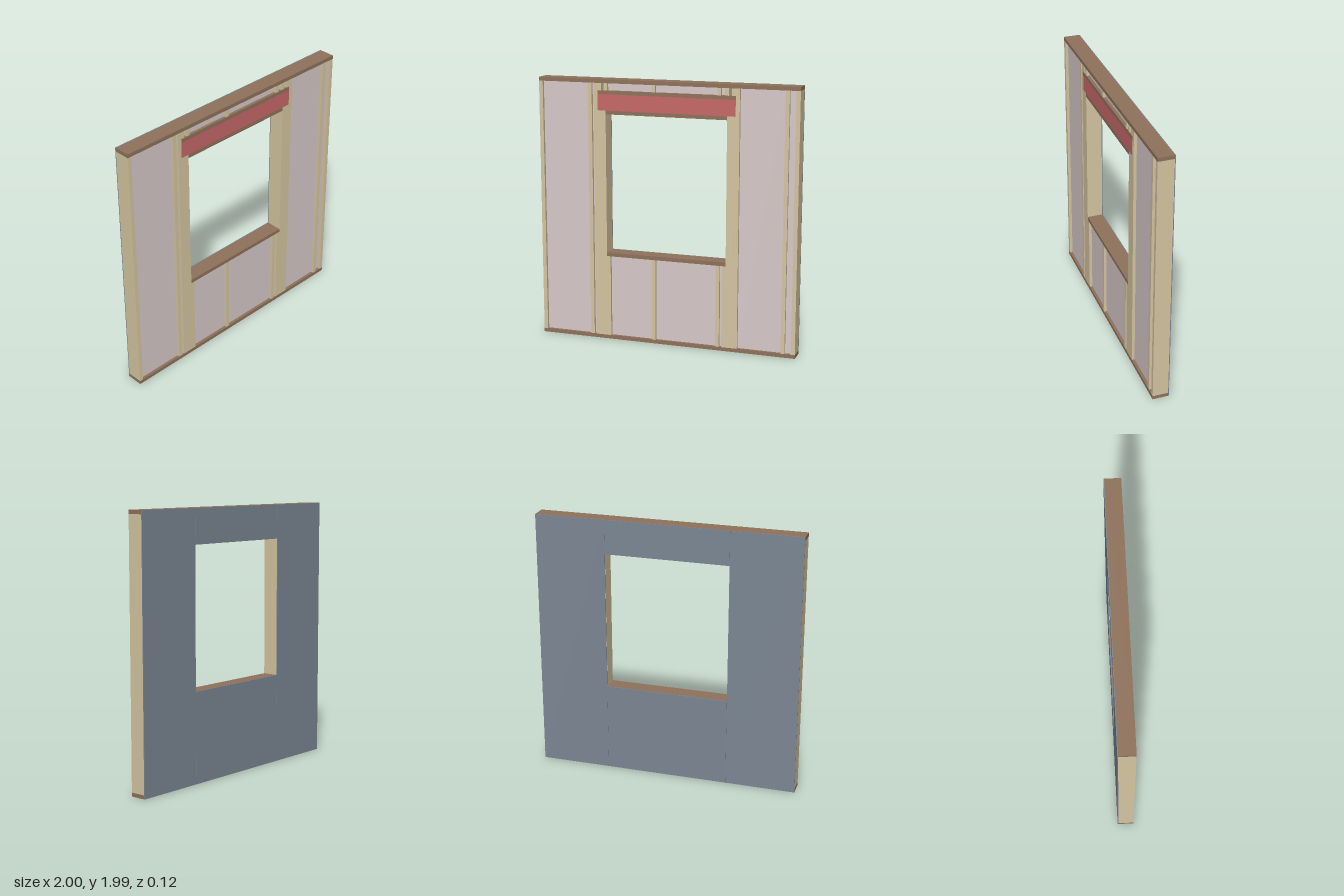
import * as THREE from 'three';

const material = (color) => new THREE.MeshStandardMaterial({ color });

export function createModel() {
  const wall = new THREE.Group();
  wall.name = 'framedWall';
  const lumber = material(0xd6c6a2);
  const plate = material(0x8f725b);
  const headerRed = material(0xc96868);
  const sheet = material(0x7c8793);
  const batt = material(0xd9caca);

  const H = 1.99, FRONT = 0.0625, BACK = -0.0565, T = 0.028;
  const TOP = H - T;                   // underside of top plate
  const SILL = 0.68, HEAD = 1.732;     // window opening
  const HALF = 0.467;                  // half opening width

  // Box given by its limits on each axis
  function box(name, mat, x0, x1, y0, y1, z0 = BACK, z1 = FRONT) {
    const mesh = new THREE.Mesh(new THREE.BoxGeometry(x1 - x0, y1 - y0, z1 - z0), mat);
    mesh.position.set((x0 + x1) / 2, (y0 + y1) / 2, (z0 + z1) / 2);
    mesh.name = name;
    wall.add(mesh);
  }

  // Horizontal plates, sill and header
  box('bottomPlate', plate, -1, 1, 0, T);
  box('topPlate', plate, -1, 1, TOP, H);
  box('windowSill', plate, -HALF, HALF, SILL - T, SILL);
  box('headPlate', plate, -HALF, HALF, HEAD, HEAD + T);
  box('header', headerRed, -0.53, 0.53, HEAD + T, 1.88);
  box('headerCap', plate, -0.53, 0.53, 1.88, 1.908);

  // Full-height studs
  for (const x of [-1, -0.606, -0.56, 0.53, 0.892, 0.97]) {
    box('stud', lumber, x, x + 0.03, T, TOP);
  }

  // Doubled jack studs carrying the header
  for (const x of [-0.53, -0.4985, 0.467, 0.4985]) {
    box('jackStud', lumber, x, x + 0.0315, T, HEAD + T);
  }

  // Short studs below the sill and above the header
  for (const x of [-HALF, -0.107, 0.392, HALF - T]) {
    box('lowerCripple', lumber, x, x + T, T, SILL - T);
  }
  for (const x of [-0.53, -0.48, -0.107, 0.392, 0.45, 0.502]) {
    box('upperCripple', lumber, x, x + T, 1.908, TOP);
  }

  // Insulation in the bays, set back from the front
  const bays = [
    [-0.97, -0.606, T, TOP], [-0.576, -0.56, T, TOP],
    [0.56, 0.892, T, TOP], [0.922, 0.97, T, TOP],
    [-0.439, -0.107, T, SILL - T], [-0.079, 0.392, T, SILL - T], [0.42, 0.439, T, SILL - T],
    [-0.452, -0.107, 1.908, TOP], [-0.079, 0.392, 1.908, TOP], [0.42, 0.45, 1.908, TOP],
  ];
  for (const [x0, x1, y0, y1] of bays) {
    box('insulation', batt, x0, x1, y0, y1, BACK, FRONT - 0.022);
  }

  // Back sheathing boards around the opening
  const seam = 0.001;
  const boards = [
    [-1, -HALF - seam, 0, H], [HALF + seam, 1, 0, H],
    [-HALF, HALF, 0, SILL], [-HALF, HALF, HEAD, H],
  ];
  for (const [x0, x1, y0, y1] of boards) {
    box('sheathing', sheet, x0, x1, y0, y1, -0.0625, BACK);
  }
  return wall;
}
